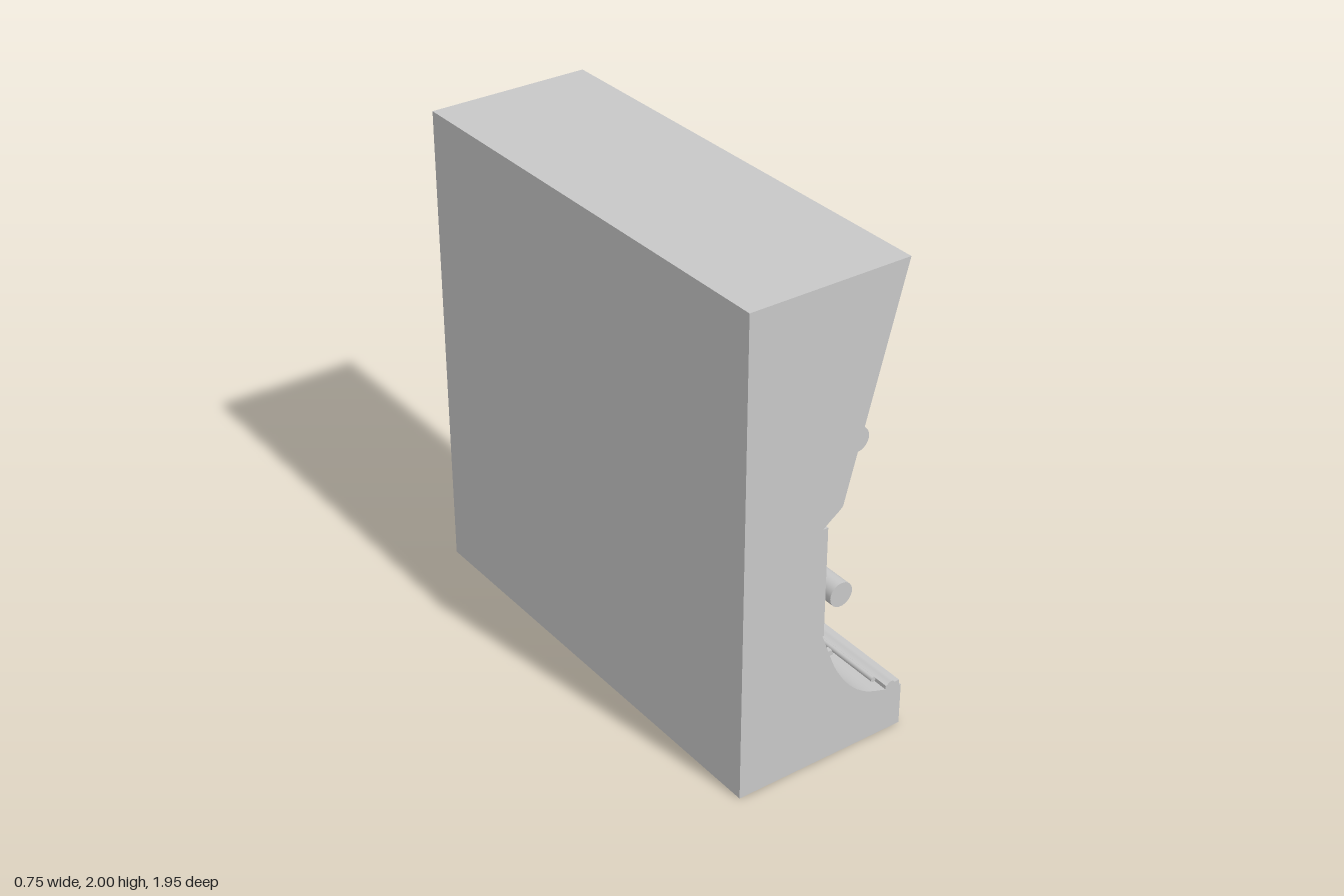
import * as THREE from 'three';
import { toCreasedNormals } from 'three/addons/utils/BufferGeometryUtils.js';

const FRONT = 0.975, BACK = -0.975, LENGTH = FRONT - BACK;
const WALL = -0.085;

export function createModel() {
  const group = new THREE.Group();
  const grey = new THREE.MeshStandardMaterial({ color: 0xc8c8c8, side: THREE.DoubleSide });
  grey.name = 'plain grey';

  const add = (name, geometry, x = 0, y = 0, z = 0) => {
    const mesh = new THREE.Mesh(geometry, grey);
    mesh.name = name;
    mesh.position.set(x, y, z);
    group.add(mesh);
    return mesh;
  };
  const box = (name, x0, x1, y0, y1, z0, z1) =>
    add(name, new THREE.BoxGeometry(x1 - x0, y1 - y0, z1 - z0), (x0 + x1) / 2, (y0 + y1) / 2, (z0 + z1) / 2);
  // Round bar running along z
  const bar = (name, x, y, r, z0, z1, sides = 40) =>
    add(name, new THREE.CylinderGeometry(r, r, z1 - z0, sides).rotateX(Math.PI / 2), x, y, (z0 + z1) / 2);

  const v = ([x, y]) => new THREE.Vector2(x, y);
  const smooth = (points, n) => new THREE.SplineCurve(points.map(v)).getPoints(n);

  // Wall section: kerb lip, bowl, upright panel, cove and overhang
  const profile = [
    ...[[0.375, 0.18], [0.365, 0.18], [0.365, 0.205], [0.342, 0.205], [0.335, 0.215],
      [0.32, 0.215], [0.305, 0.205], [0.3, 0.205]].map(v),
    ...smooth([[0.3, 0.188], [0.2, 0.225], [0.12, 0.29], [0.055, 0.385], [0.015, 0.48],
      [-0.015, 0.56], [-0.055, 0.65], [-0.078, 0.72], [WALL, 0.78]], 32),
    ...smooth([[WALL, 0.985], [-0.06, 1.015], [-0.01, 1.055], [0.03, 1.083], [0.05, 1.1]], 12),
    ...[[0.3, 2], [-0.38, 2], [-0.38, 0], [0.375, 0]].map(v),
  ];

  // Long faces of the wall; the low kerb face is left open
  const positions = [];
  for (let i = 0; i < profile.length - 1; i++) {
    const a = profile[i], b = profile[i + 1];
    positions.push(a.x, a.y, FRONT, a.x, a.y, BACK, b.x, b.y, BACK);
    positions.push(a.x, a.y, FRONT, b.x, b.y, BACK, b.x, b.y, FRONT);
  }
  const shell = new THREE.BufferGeometry();
  shell.setAttribute('position', new THREE.Float32BufferAttribute(positions, 3));
  add('wallShell', toCreasedNormals(shell, 0.6));

  // End faces
  const section = new THREE.Shape(profile);
  add('frontEnd', new THREE.ShapeGeometry(section), 0, 0, FRONT);
  add('backEnd', new THREE.ShapeGeometry(section).rotateY(Math.PI).scale(-1, 1, 1), 0, 0, BACK)
    .geometry.index.array.reverse();
  group.getObjectByName('backEnd').geometry.computeVertexNormals();

  // Pipe half sunk in the overhang, with flanges and thin joints
  bar('upperPipe', 0.105, 1.35, 0.05, BACK + 0.002, FRONT - 0.002);
  for (const [z0, z1] of [[-0.015, 0.022], [-0.977, -0.94]]) bar('pipeFlange', 0.056, 1.365, 0.104, z0, z1, 48);
  for (const z of [0.49, -0.485]) bar('pipeJoint', 0.105, 1.35, 0.056, z - 0.005, z + 0.005);

  // Thin arc on the back end
  const arc = add('backArc', new THREE.TorusGeometry(0.088, 0.002, 6, 24, 1.9), 0.035, 1.54, BACK);
  arc.rotation.z = 1.5;

  // Free handrail
  bar('handrail', 0.06, 0.72, 0.05, BACK, FRONT);

  // Upright posts on the panel
  box('endPost', WALL - 0.02, -0.013, 0.57, 1.035, 0.885, FRONT);
  box('endPostCap', WALL, -0.02, 1.03, 1.045, 0.9, 0.95);
  for (const [z, r] of [[0.003, 0.024], [-0.962, 0.0125]]) {
    add('panelPost', new THREE.CylinderGeometry(r, r, 0.32, 16), WALL + 0.004, 0.83, z);
  }

  // Two sets of vent ribs
  for (const centre of [0.49, -0.485]) {
    for (let i = 0; i < 6; i++) {
      const z = centre + (i - 2.5) * 0.073;
      box('ventRib', WALL - 0.01, WALL + 0.01, 0.81, 0.99, z - 0.016, z + 0.016);
    }
  }

  // Slim rail over the bowl with its clips
  bar('slimRail', 0.236, 0.263, 0.011, BACK, FRONT, 12);
  for (const z of [0.735, 0.245, -0.245, -0.735]) {
    box('railClip', 0.2, 0.232, 0.242, 0.265, z - 0.012, z + 0.012);
  }

  return group;
}
